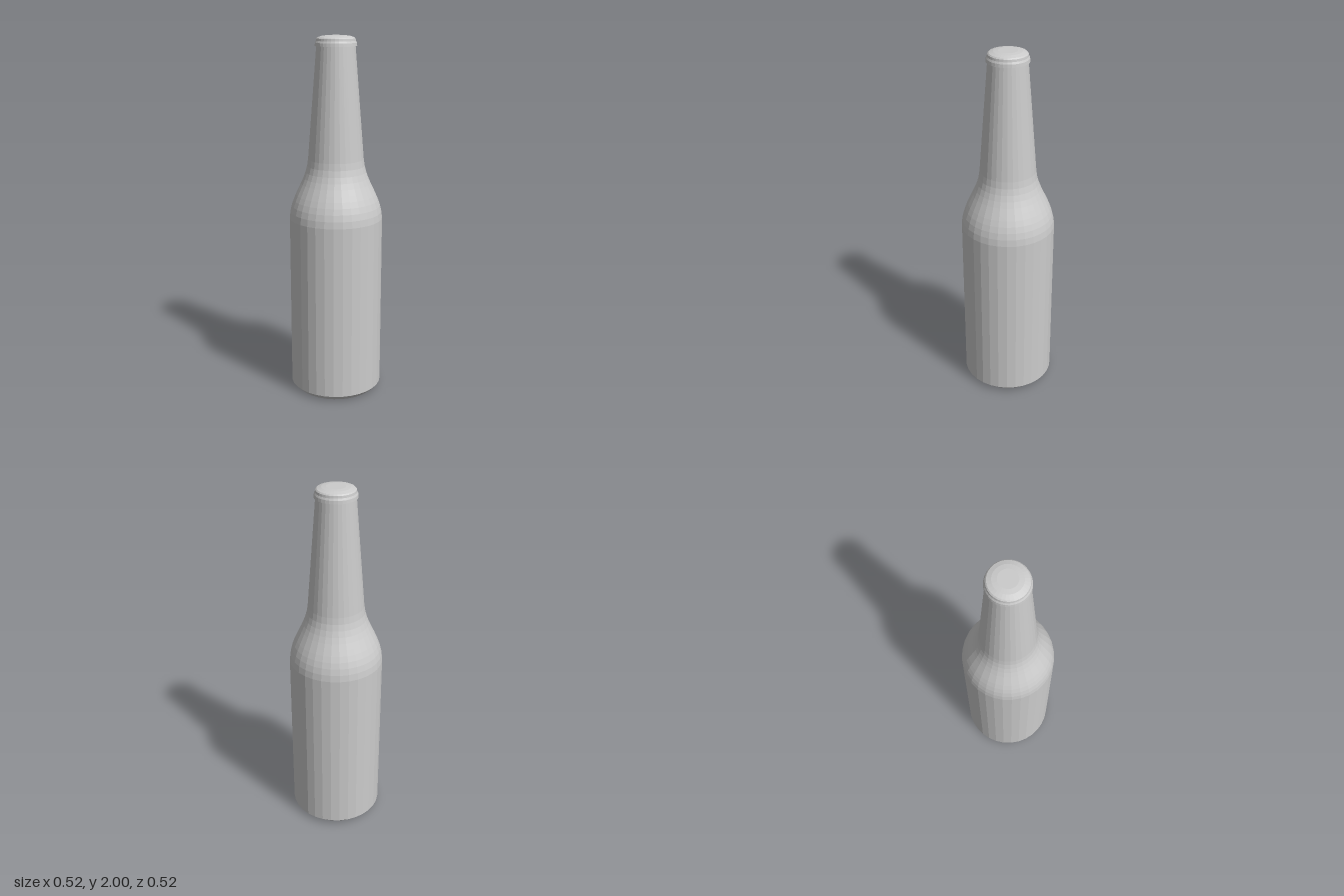
import * as THREE from 'three';

const SIDES = 32;
const material = new THREE.MeshStandardMaterial({
  color: 0xcccccc, flatShading: true, side: THREE.DoubleSide,
});

// Revolve a list of [radius, height] points around the y axis
function turned(name, points) {
  const profile = points.map(([r, y]) => new THREE.Vector2(r, y));
  const mesh = new THREE.Mesh(new THREE.LatheGeometry(profile, SIDES), material);
  mesh.name = name;
  return mesh;
}

export function createModel() {
  const bottle = new THREE.Group();
  bottle.name = 'bottle';

  // Hollow glass body: chamfered open base, straight wall, S-curved shoulder, tapering neck
  const shoulder = new THREE.CubicBezierCurve(
    new THREE.Vector2(0.258, 1.01),
    new THREE.Vector2(0.25, 1.14),
    new THREE.Vector2(0.164, 1.21),
    new THREE.Vector2(0.153, 1.34),
  ).getPoints(10).map((p) => [p.x, p.y]);
  bottle.add(turned('body', [
    [0.228, 0], [0.258, 0.03], ...shoulder, [0.104, 1.95], [0.102, 1.97],
  ]));

  // Cap: flat centre, gently domed top, rounded edge and flared skirt
  bottle.add(turned('cap', [
    [0.113, 1.945], [0.111, 1.962], [0.106, 1.972], [0.104, 1.984],
    [0.098, 1.99], [0.075, 1.997], [0.05, 2], [0, 2],
  ]));

  return bottle;
}
